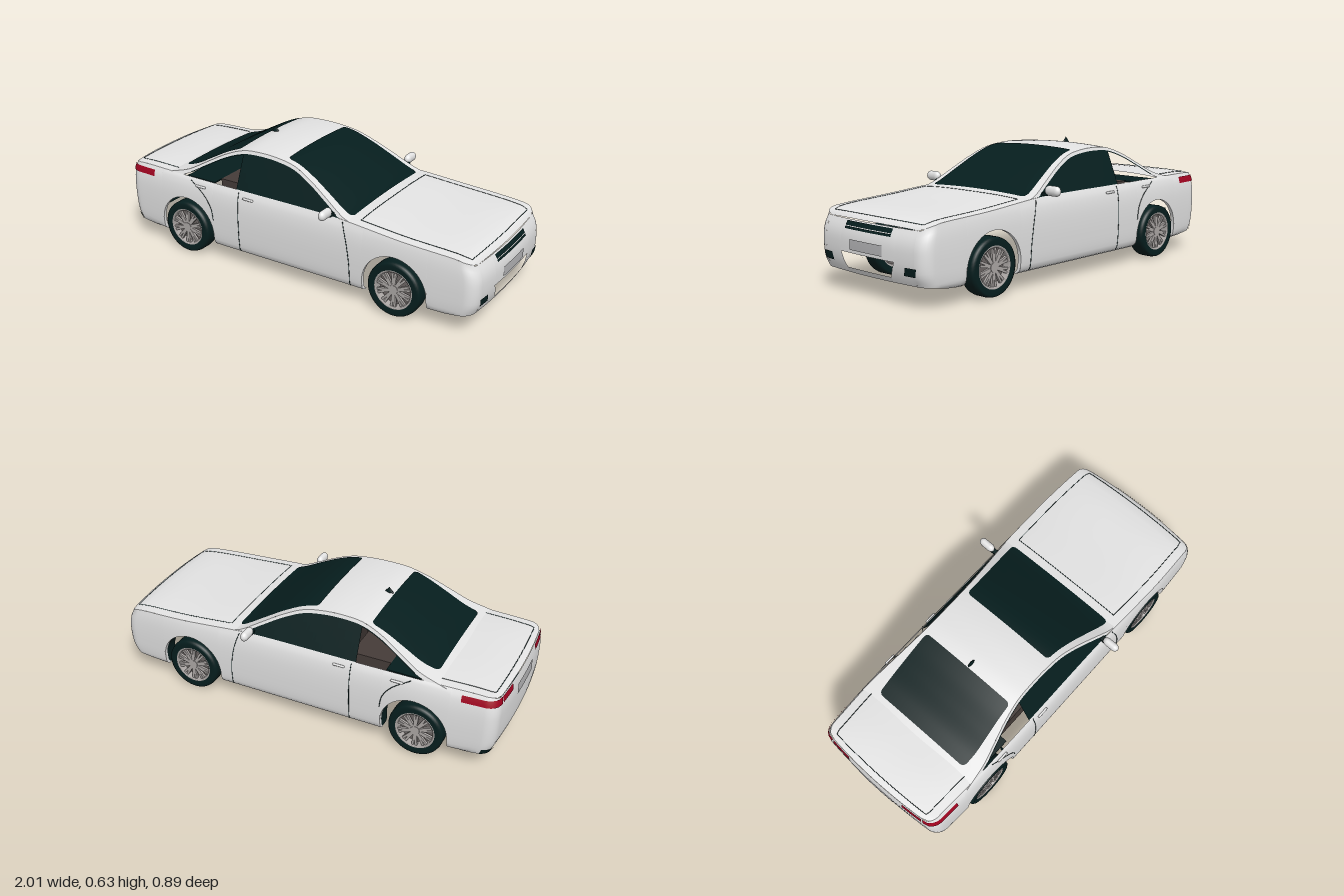
import * as THREE from 'three';

const { smoothstep, lerp, clamp } = THREE.MathUtils;
const flat = (name, color) => Object.assign(new THREE.MeshStandardMaterial({ color }), { name });

// Smooth height/width function through [x, value] points
const curve = (p) => (x) => {
  const n = p.length - 1;
  x = clamp(x, p[0][0], p[n][0]);
  let i = 0;
  while (i < n - 1 && x > p[i + 1][0]) i++;
  const slope = (k) => {
    const a = p[Math.max(k - 1, 0)], b = p[Math.min(k + 1, n)];
    return (b[1] - a[1]) / (b[0] - a[0]);
  };
  const h = p[i + 1][0] - p[i][0], t = (x - p[i][0]) / h, t2 = t * t, t3 = t2 * t;
  return (2 * t3 - 3 * t2 + 1) * p[i][1] + (t3 - 2 * t2 + t) * h * slope(i)
    + (3 * t2 - 2 * t3) * p[i + 1][1] + (t3 - t2) * h * slope(i + 1);
};
const span = (a, b, n) => Array.from({ length: n + 1 }, (_, i) => lerp(a, b, i / n));

// Surface grid: front side faces dU x dV
function patch(us, vs, f) {
  const pos = [], idx = [], m = vs.length;
  us.forEach((u) => vs.forEach((v) => pos.push(...f(u, v))));
  for (let i = 0; i < us.length - 1; i++) for (let j = 0; j < m - 1; j++) {
    const a = i * m + j, b = a + m;
    idx.push(a, b, a + 1, b, b + 1, a + 1);
  }
  const g = new THREE.BufferGeometry();
  g.setAttribute('position', new THREE.Float32BufferAttribute(pos, 3));
  g.setIndex(idx);
  g.computeVertexNormals();
  return g;
}
function mirrorZ(geo) {
  const g = geo.clone().scale(1, 1, -1), a = g.index.array;
  for (let i = 0; i < a.length; i += 3) [a[i], a[i + 1]] = [a[i + 1], a[i]];
  g.computeVertexNormals();
  return g;
}

// Body rules: shoulder height, half width by height, end inset by height, cabin height
const END = 0.985, CORNER = 0.06, ARCH = 0.164, ARCH_Y = 0.138, ARCHES = [-0.6, 0.587], WHEELS = [-0.61, 0.586];
const shoulder = curve([[-0.985, 0.4], [-0.95, 0.41], [-0.8, 0.414], [-0.3, 0.412], [0.2, 0.411],
  [0.35, 0.405], [0.6, 0.386], [0.88, 0.37], [0.93, 0.364], [0.97, 0.352], [0.985, 0.338]]);
const halfWidth = curve([[0.075, 0.338], [0.085, 0.356], [0.105, 0.368], [0.2, 0.375], [0.3, 0.375], [0.36, 0.369], [0.4, 0.358], [0.415, 0.348]]);
const insetFront = curve([[0.1, 0.025], [0.15, 0.004], [0.25, 0], [0.3, 0.01], [0.34, 0.03]]);
const insetRear = curve([[0.1, 0.03], [0.15, 0.01], [0.3, 0], [0.36, 0.003], [0.4, 0.01]]);
const cabinTop = curve([[-0.74, 0.418], [-0.69, 0.431], [-0.6, 0.458], [-0.5, 0.512], [-0.4, 0.565], [-0.3, 0.6],
  [-0.2, 0.608], [-0.1, 0.604], [0, 0.587], [0.1, 0.544], [0.2, 0.488], [0.3, 0.431], [0.36, 0.411]]);
const edgeY = (x) => cabinTop(x) - 0.012;
const cabinZ = (y) => 0.35 - (y - 0.412) * 0.41;
const windowTop = (x) => Math.max(shoulder(x), edgeY(x) - 0.02);
const endBlend = (x) => smoothstep(Math.abs(x), 0.8, END);
const warp = (x, y) => x * (1 - (x > 0 ? insetFront : insetRear)(y) * endBlend(x));
const taper = (x) => 0.018 * smoothstep(Math.abs(x), 0.6, 1.1);
const floorY = (x) => 0.075 + 0.025 * smoothstep(Math.abs(x), 0.75, END);
const inArch = (x) => ARCHES.find((c) => Math.abs(x - c) <= ARCH + 1e-6);
const lowerEdge = (x) => {
  const c = inArch(x);
  return c === undefined ? floorY(x) : ARCH_Y + Math.sqrt(Math.max(0, ARCH ** 2 - (x - c) ** 2));
};
// Distance lost to a rounded corner of radius r, at distance d from the end
const rounding = (d, r) => r - Math.sqrt(Math.max(0, r * r - Math.max(0, r - d) ** 2));
const side = (x, y, off = 0) => {
  const z = halfWidth(y) - taper(x) - rounding(END - Math.abs(x), CORNER);
  return [warp(x, y) + Math.sign(x) * off * smoothstep(Math.abs(x), 0.93, END), y, z + off];
};
const capZ = (end, y) => side(end * END, y)[2];
const cap = (end, z, y, off = 0) => {
  const t = z / capZ(end, y);
  return [warp(end * END, y) + end * (0.015 * (1 - t * t) + off), y, z];
};
const deck = (x, t, off = 0) => {
  const [sx, y, z] = side(x, shoulder(x)), k = endBlend(x);
  return [sx + Math.sign(x) * 0.015 * (1 - t * t) * k, y + 0.012 * (1 - Math.abs(t) ** 3) * (1 - 0.6 * k) + off, z * t];
};
const skin = (x, t, off = 0) => [x, edgeY(x) + 0.012 * (1 - t * t) + off, t * cabinZ(edgeY(x))];

export function createModel() {
  const car = new THREE.Group();
  car.name = 'car';
  const paint = flat('silver paint', 0xe4e4e4), dark = flat('dark glass and rubber', 0x061e1e);
  const red = flat('red lamp', 0xa00420), metal = flat('wheel metal', 0xaca7a5);
  const trim = flat('brown trim', 0x453c39), plateGrey = flat('plate grey', 0xb4b4b6);
  const discGrey = flat('disc grey', 0x6c6664);
  const add = (name, mat, geo, parent = car) => {
    const m = new THREE.Mesh(geo, mat);
    m.name = name;
    parent.add(m);
    return m;
  };
  const pair = (name, mat, geo) => {
    add(name + 'Right', mat, geo);
    add(name + 'Left', mat, mirrorZ(geo));
  };
  const box = (w, h, d, x, y, z) => new THREE.BoxGeometry(w, h, d).translate(x, y, z);

  // Column positions: dense at rounded corners and wheel arches
  const xs = span(-0.9, 0.9, 30).filter((x) => inArch(x) === undefined);
  for (const a of span(0, Math.PI / 2, 7)) {
    const x = END - CORNER * (1 - Math.cos(a));
    xs.push(x, -x);
  }
  for (const c of ARCHES) {
    xs.push(c - ARCH - 1e-4, c + ARCH + 1e-4);
    for (const a of span(0, Math.PI, 24)) xs.push(c - ARCH * Math.cos(a));
  }
  xs.sort((a, b) => a - b);

  // Lower body
  pair('bodySide', paint, patch(xs, [0, 0.03, 0.07, ...span(0.12, 1, 14)],
    (x, v) => side(x, lerp(lowerEdge(x), shoulder(x), v))));
  add('floor', paint, patch(xs, [-1, 1], (x, t) => {
    const [sx, y, z] = side(x, floorY(x));
    return [sx, y, t * (inArch(x) === undefined ? z : 0.27)];
  }));
  const across = span(1, -1, 20);
  const frontXs = [...span(0.3, 0.9, 14), ...span(0.91, END, 8)];
  add('hood', paint, patch(frontXs, across, (x, t) => deck(x, t)));
  add('trunkLid', paint, patch([...span(-END, -0.9, 8), ...span(-0.88, -0.62, 7)], across, (x, t) => deck(x, t)));

  // Arch lips all round, dark liners ahead of the wheels
  for (const c of ARCHES) {
    const arch = (u, inner, outer) => (s, v) => {
      const a = clamp(s, -1, 1) * Math.PI / 2;
      const x = c + ARCH * Math.sin(a), y = ARCH_Y + ARCH * Math.cos(a) - Math.max(0, Math.abs(s) - 1) * (ARCH_Y - 0.076);
      const edge = side(x, y)[2];
      return [x, y, lerp(inner(edge), outer(edge), v)];
    };
    pair('archLip', paint, patch(span(-2, 2, 48), [0, 1], arch(0, (e) => e - 0.018, (e) => e)));
    pair('archLiner', dark, patch(span(0.6, 2, 16), [0, 1], arch(0, () => 0.285, (e) => e - 0.018)));
  }

  // Nose with an open trapezoid intake
  const intake = (y) => lerp(0.15, 0.18, clamp((y - 0.125) / 0.07, 0, 1));
  const noseTop = shoulder(END), noseYs = [0.1, 0.125, 0.16, 0.195, ...span(0.22, noseTop, 6)];
  pair('noseSide', paint, patch(span(1, 0, 6), noseYs, (s, y) => cap(1, lerp(intake(y), capZ(1, y), s), y)));
  for (const [name, ys] of [['noseLip', [0.1, 0.125]], ['noseUpper', noseYs.slice(3)]])
    add(name, paint, patch(span(1, -1, 10), ys, (s, y) => cap(1, s * intake(y), y)));
  add('tail', paint, patch(span(-1, 1, 20), span(0.1, shoulder(-END), 12), (s, y) => cap(-1, s * capZ(-1, y), y)));

  // Bumper structure deep inside, behind the intake
  add('bumperBeamLow', dark, box(0.02, 0.035, 0.38, -0.93, 0.125, 0));
  add('bumperBeamMiddle', dark, box(0.02, 0.06, 0.094, -0.93, 0.17, 0));
  pair('bumperBeamSide', dark, box(0.02, 0.06, 0.105, -0.93, 0.17, 0.138));
  add('bumperBeamTop', trim, box(0.02, 0.022, 0.26, -0.915, 0.187, 0));

  // Thin panels lying on the nose and tail
  const panel = (end, z0, z1, y0, y1, skew = 0) =>
    patch(end > 0 ? span(z1, z0, 8) : span(z0, z1, 8), span(y0, y1, 3),
      (z, y) => cap(end, z + skew * (y - y0), y, 0.004));
  add('grilleBarLow', dark, panel(1, -0.156, 0.156, 0.299, 0.31));
  add('grilleBarHigh', dark, panel(1, -0.156, 0.156, 0.313, 0.333));
  add('frontPlate', plateGrey, panel(1, -0.11, 0.11, 0.21, 0.257));
  pair('fogLamp', dark, panel(1, 0.24, 0.304, 0.145, 0.182, 0.25));
  add('rearPlate', plateGrey, panel(-1, -0.11, 0.11, 0.3, 0.355));
  pair('tailLampRear', red, panel(-1, 0.17, capZ(-1, 0.396), 0.366, 0.397));
  pair('tailLampSide', red, patch([...span(-END, -0.92, 9), -0.87, -0.815], span(0.366, 0.398, 3), (x, y) => side(x, y, 0.004)));
  const low = capZ(-1, 0.11);
  add('rearDiffuser', dark, panel(-1, -low, low, 0.1, 0.13));
  pair('diffuserCorner', dark, patch(span(-END, -0.94, 8), [0.1, 0.115, 0.13], (x, y) => side(x, y, 0.004)));

  // Cabin roof skin, pillars and glass
  add('roofSkin', paint, patch(span(-0.74, 0.36, 60), across, (x, t) => skin(x, t)));
  pair('windowFrame', paint, patch(span(-0.72, 0.34, 60), [0, 0.5, 1], (x, v) => {
    const y = lerp(windowTop(x), Math.max(edgeY(x), shoulder(x)), v);
    return [x, y, cabinZ(y)];
  }));
  pair('sideGlass', dark, patch(span(-0.3, 0.285, 30), span(0, 1, 4), (x, v) => {
    const y = lerp(shoulder(x) - 0.003, windowTop(x) + 0.002, v);
    return [x, y, cabinZ(y) - 0.001];
  }));
  pair('windowSeal', dark, patch(span(-0.585, 0.27, 50), [0, 1], (x, v) => {
    const y = windowTop(x) + v * 0.005;
    return [x, y, cabinZ(y) + 0.002];
  }));
  const glass = (name, x0, x1, t0, t1) => {
    const us = span(0, Math.PI, 30).map((a) => lerp(x0, x1, (1 - Math.cos(a)) / 2));
    add(name, dark, patch(us, across, (x, t) => {
      const lost = rounding(Math.min(x - x0, x1 - x), 0.022) / 0.3;
      return skin(x, t * (lerp(t0, t1, (x - x0) / (x1 - x0)) - lost), 0.004);
    }));
  };
  glass('windshield', -0.06, 0.335, 0.91, 0.88);
  glass('rearWindow', -0.675, -0.335, 0.785, 0.93);

  // Shut lines and door handles
  const line = (pts) => new THREE.TubeGeometry(
    new THREE.CatmullRomCurve3(pts.map((p) => new THREE.Vector3(...p))), 48, 0.0016, 5);
  const sideLines = {
    frontDoorGap: [[0.357, 0.085], [0.355, 0.2], [0.338, 0.31], [0.31, 0.4]],
    middleDoorGap: [[-0.277, 0.085], [-0.277, 0.2], [-0.277, 0.3], [-0.28, 0.405]],
    rearDoorGap: [[-0.432, 0.22], [-0.445, 0.285], [-0.49, 0.345], [-0.575, 0.4]],
  };
  for (const [name, pts] of Object.entries(sideLines)) {
    const path = new THREE.SplineCurve(pts.map((p) => new THREE.Vector2(...p)));
    pair(name, dark, line(path.getPoints(24).map((p) => side(p.x, p.y, 0.0005))));
  }
  pair('hoodGap', dark, line(span(0.38, 0.955, 16).map((x) => deck(x, 0.87))));
  pair('trunkGap', dark, line(span(-0.955, -0.7, 12).map((x) => deck(x, 0.87))));
  for (const [name, x] of [['hoodFrontGap', 0.955], ['cowlGap', 0.38], ['trunkRearGap', -0.955]])
    add(name, dark, line(span(-0.87, 0.87, 20).map((t) => deck(x, t))));
  for (const x of [-0.51, -0.22])
    pair('doorHandle', paint, new THREE.CapsuleGeometry(0.006, 0.05, 4, 10).rotateZ(Math.PI / 2).translate(x, 0.38, side(x, 0.38)[2] + 0.003));

  // Mirrors and aerial fin
  pair('mirror', paint, new THREE.CapsuleGeometry(0.024, 0.04, 8, 16).rotateX(Math.PI / 2).scale(0.8, 1, 1).translate(0.243, 0.438, 0.402));
  pair('mirrorStalk', dark, box(0.025, 0.012, 0.05, 0.245, 0.422, 0.355));
  add('aerialFin', dark, new THREE.ConeGeometry(0.024, 0.028, 12).scale(1, 1, 0.3).translate(-0.31, 0.612, 0));

  // Interior
  add('parcelShelf', dark, box(0.17, 0.006, 0.67, -0.53, 0.405, 0));
  add('rearBench', trim, box(0.2, 0.1, 0.56, -0.345, 0.358, 0));
  pair('frontSeat', trim, new THREE.BoxGeometry(0.06, 0.24, 0.2).rotateZ(0.2).translate(-0.2, 0.42, 0.14));

  // Wheels: tyre, rim, backing disc, spokes and hub
  const lathe = (pts) => new THREE.LatheGeometry(pts.map((p) => new THREE.Vector2(...p)), 48).rotateX(Math.PI / 2);
  const tyre = lathe([[0.096, -0.04], [0.122, -0.045], [0.132, -0.038], [0.135, -0.025], [0.135, 0.025], [0.132, 0.038], [0.122, 0.045], [0.096, 0.04]]);
  const rim = lathe([[0.098, 0.04], [0.094, 0.042], [0.087, 0.036], [0.085, -0.036], [0.098, -0.04]]);
  const disc = new THREE.CylinderGeometry(0.087, 0.087, 0.012, 40).rotateX(Math.PI / 2);
  const spoke = new THREE.BoxGeometry(0.011, 0.074, 0.012).translate(0, 0.05, 0.03);
  const hub = new THREE.CylinderGeometry(0.022, 0.026, 0.02, 20).rotateX(Math.PI / 2).translate(0, 0, 0.028);
  for (const x of WHEELS) for (const s of [1, -1]) {
    const wheel = new THREE.Group();
    wheel.name = (x > 0 ? 'front' : 'rear') + (s > 0 ? 'Right' : 'Left') + 'Wheel';
    wheel.position.set(x, 0.135, s * 0.33);
    if (s < 0) wheel.rotation.y = Math.PI;
    add('tyre', dark, tyre, wheel);
    add('rim', metal, rim, wheel);
    add('brakeDisc', discGrey, disc, wheel);
    add('hub', metal, hub, wheel);
    for (let i = 0; i < 10; i++) for (const d of [-0.1, 0.1])
      add('spoke', metal, spoke, wheel).rotation.z = (i / 10) * Math.PI * 2 + d;
    car.add(wheel);
  }
  return car;
}
